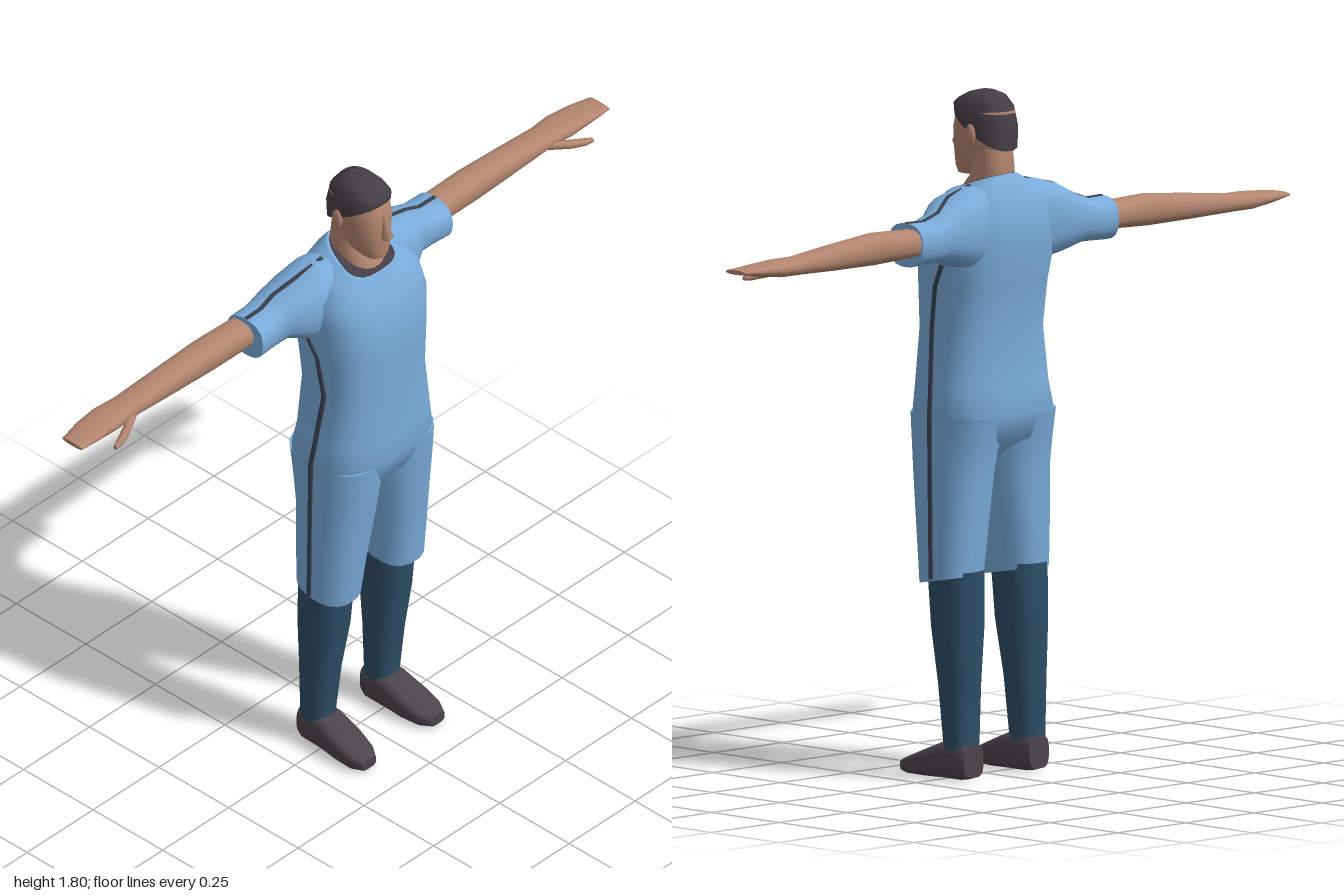
import * as THREE from 'three';

const mat = (name, color) => {
  const m = new THREE.MeshStandardMaterial({ color });
  m.name = name;
  return m;
};

// Ring axes: [u, v, w], the loft runs along w.
const AXES = { y: ['x', 'z', 'y'], x: ['z', 'y', 'x'], z: ['y', 'x', 'z'] };

// Closed loft. Section: [pos, centreU, centreV, radiusU, radiusV, tilt, taper]
// tilt slopes the ring along v, taper widens it towards +v, p squares it off.
function loft(axis, sections, { sides = 18, p = 0.85 } = {}) {
  const [u, v, w] = AXES[axis];
  const pos = [], idx = [];
  const pt = new THREE.Vector3();
  const pow = (n) => Math.sign(n) * Math.pow(Math.abs(n), p);
  const ring = ([h, cu, cv, ru, rv, tilt = 0, taper = 0]) => {
    for (let i = 0; i < sides; i++) {
      const t = (i / sides) * Math.PI * 2;
      const b = pow(Math.sin(t));
      pt[u] = cu + ru * pow(Math.cos(t)) * (1 + taper * b);
      pt[v] = cv + rv * b;
      pt[w] = h + tilt * rv * b;
      pos.push(pt.x, pt.y, pt.z);
    }
  };
  sections.forEach(ring);
  for (let s = 0; s < sections.length - 1; s++) {
    for (let i = 0; i < sides; i++) {
      const a = s * sides + i, b = s * sides + (i + 1) % sides;
      idx.push(a, a + sides, b, b, a + sides, b + sides);
    }
  }
  // End caps with their own vertices, for a sharp rim
  [sections[0], sections[sections.length - 1]].forEach((sec, end) => {
    const base = pos.length / 3;
    ring(sec);
    for (let i = 1; i < sides - 1; i++) {
      if (end) idx.push(base, base + i + 1, base + i);
      else idx.push(base, base + i, base + i + 1);
    }
  });
  const g = new THREE.BufferGeometry();
  g.setAttribute('position', new THREE.Float32BufferAttribute(pos, 3));
  g.setIndex(idx);
  g.computeVertexNormals();
  return g;
}

function mirrored(geo) {
  const g = geo.clone().scale(-1, 1, 1);
  const a = g.index.array;
  for (let i = 0; i < a.length; i += 3) [a[i], a[i + 1]] = [a[i + 1], a[i]];
  g.computeVertexNormals();
  return g;
}

export function createModel() {
  const model = new THREE.Group();
  model.name = 'person';
  const blue = mat('light blue cloth', 0x7aacdb);
  const navy = mat('dark blue sock', 0x2e4e66);
  const skin = mat('skin', 0xb3866f);
  const hair = mat('dark hair', 0x453e46);
  const leather = mat('shoe leather', 0x4c444b);
  const trim = mat('dark trim', 0x3a424f);

  const add = (name, geo, material) => {
    const m = new THREE.Mesh(geo, material);
    m.name = name;
    model.add(m);
  };
  const pair = (name, geo, material) => {
    add('left' + name, geo, material);
    add('right' + name, mirrored(geo), material);
  };

  // Shirt body with a sloping neck opening
  add('shirt', loft('y', [
    [0.84, 0, 0.01, 0.07, 0.05],
    [0.89, 0, 0.005, 0.17, 0.115],
    [0.96, 0, 0.005, 0.195, 0.138],
    [1.03, 0, 0.01, 0.185, 0.13],
    [1.18, 0, 0.011, 0.166, 0.126],
    [1.30, 0, 0.005, 0.172, 0.134],
    [1.41, 0, -0.008, 0.182, 0.143],
    [1.49, 0, -0.016, 0.172, 0.124, -0.12],
    [1.535, 0, -0.01, 0.125, 0.1, -0.28, 0.08],
    [1.56, 0, -0.006, 0.083, 0.086, -0.35, 0.25],
  ], { sides: 24, p: 0.72 }), blue);

  // Dark lining showing in the corners of the neck opening
  add('collarLining', loft('y', [
    [1.556, 0, -0.006, 0.076, 0.08, -0.35, 0.25],
    [1.562, 0, -0.006, 0.076, 0.08, -0.35, 0.25],
  ], { sides: 24, p: 0.72 }), hair);

  // Shoulders and short sleeves
  pair('Sleeve', loft('x', [
    [0.05, -0.05, 1.47, 0.06, 0.09],
    [0.12, -0.052, 1.455, 0.083, 0.11],
    [0.19, -0.055, 1.452, 0.085, 0.092],
    [0.25, -0.075, 1.446, 0.068, 0.064],
    [0.30, -0.075, 1.437, 0.064, 0.056],
    [0.36, -0.073, 1.436, 0.064, 0.058],
  ], { p: 0.8 }), blue);
  pair('SleeveTrim', loft('x', [
    [0.10, -0.045, 1.564, 0.007, 0.004],
    [0.19, -0.055, 1.543, 0.007, 0.004],
    [0.25, -0.078, 1.509, 0.007, 0.004],
    [0.30, -0.075, 1.492, 0.007, 0.004],
    [0.358, -0.073, 1.493, 0.007, 0.004],
  ], { sides: 6 }), trim);

  // Knee-length trousers
  pair('TrouserLeg', loft('y', [
    [0.525, 0.12, 0.0, 0.076, 0.084, -0.18],
    [0.65, 0.113, 0.004, 0.083, 0.096],
    [0.80, 0.102, 0.01, 0.094, 0.108],
    [0.88, 0.098, 0.008, 0.097, 0.121],
    [0.96, 0.098, 0.004, 0.096, 0.132],
  ]), blue);

  // Dark piping down the flank
  pair('SideTrim', loft('y', [
    [0.53, 0.195, 0.0, 0.004, 0.008],
    [0.65, 0.195, 0.002, 0.004, 0.008],
    [0.80, 0.195, 0.004, 0.004, 0.008],
    [0.96, 0.195, 0.006, 0.004, 0.008],
    [1.03, 0.185, 0.012, 0.004, 0.008],
    [1.18, 0.166, 0.026, 0.004, 0.008],
    [1.30, 0.172, 0.008, 0.004, 0.008],
    [1.385, 0.181, -0.035, 0.004, 0.008],
  ], { sides: 6 }), trim);

  // Long socks and shoes
  pair('Sock', loft('y', [
    [0.08, 0.121, -0.038, 0.045, 0.043],
    [0.25, 0.12, -0.03, 0.052, 0.055],
    [0.40, 0.117, -0.02, 0.063, 0.07],
    [0.55, 0.116, -0.012, 0.067, 0.075],
  ]), navy);
  pair('Shoe', loft('z', [
    [-0.082, 0.05, 0.12, 0.043, 0.036],
    [-0.06, 0.051, 0.12, 0.05, 0.047],
    [0.005, 0.05, 0.121, 0.049, 0.048],
    [0.07, 0.036, 0.124, 0.036, 0.05],
    [0.125, 0.025, 0.128, 0.024, 0.044],
    [0.155, 0.021, 0.13, 0.016, 0.026],
  ], { p: 0.6 }), leather);

  // Arms tapering into flat hands, with thumbs
  pair('Arm', loft('x', [
    [0.33, -0.087, 1.443, 0.046, 0.036],
    [0.50, -0.09, 1.443, 0.044, 0.042],
    [0.65, -0.095, 1.437, 0.042, 0.034],
    [0.79, -0.1, 1.431, 0.041, 0.024],
    [0.86, -0.1, 1.431, 0.047, 0.023],
    [0.93, -0.096, 1.432, 0.044, 0.016],
    [1.0, -0.088, 1.433, 0.036, 0.006],
  ]), skin);
  pair('Thumb', loft('x', [
    [0.78, -0.075, 1.424, 0.014, 0.012],
    [0.84, -0.045, 1.411, 0.014, 0.012],
    [0.88, -0.03, 1.404, 0.011, 0.01],
    [0.905, -0.024, 1.401, 0.006, 0.006],
  ], { sides: 8 }), skin);

  // Neck, head and face
  add('neck', loft('y', [
    [1.50, 0, 0.0, 0.064, 0.074, -0.3],
    [1.55, 0, -0.004, 0.06, 0.074, -0.3],
    [1.585, 0, -0.03, 0.055, 0.057, -0.1],
    [1.65, 0, -0.03, 0.052, 0.05],
  ]), skin);
  add('head', loft('y', [
    [1.58, 0, 0.04, 0.032, 0.044],
    [1.60, 0, 0.024, 0.046, 0.064],
    [1.64, 0, 0.012, 0.057, 0.076],
    [1.70, 0, 0.002, 0.066, 0.086],
    [1.75, 0, -0.006, 0.064, 0.083],
    [1.78, 0, -0.01, 0.048, 0.06],
  ]), skin);
  add('nose', loft('y', [
    [1.645, 0, 0.09, 0.013, 0.012],
    [1.657, 0, 0.094, 0.014, 0.02],
    [1.685, 0, 0.086, 0.009, 0.015],
    [1.715, 0, 0.08, 0.006, 0.009],
  ], { sides: 8 }), skin);
  const ear = new THREE.SphereGeometry(1, 10, 8);
  ear.scale(0.009, 0.03, 0.017).translate(0.069, 1.69, -0.018);
  pair('Ear', ear, skin);

  // Short hair, hairline sloping down to the nape
  add('hair', loft('y', [
    [1.70, 0, -0.006, 0.068, 0.089, 0.58],
    [1.735, 0, -0.006, 0.07, 0.091, 0.38],
    [1.77, 0, -0.008, 0.06, 0.078, 0.14],
    [1.793, 0, -0.01, 0.042, 0.052, 0.04],
    [1.803, 0, -0.01, 0.018, 0.022],
  ]), hair);

  return model;
}
